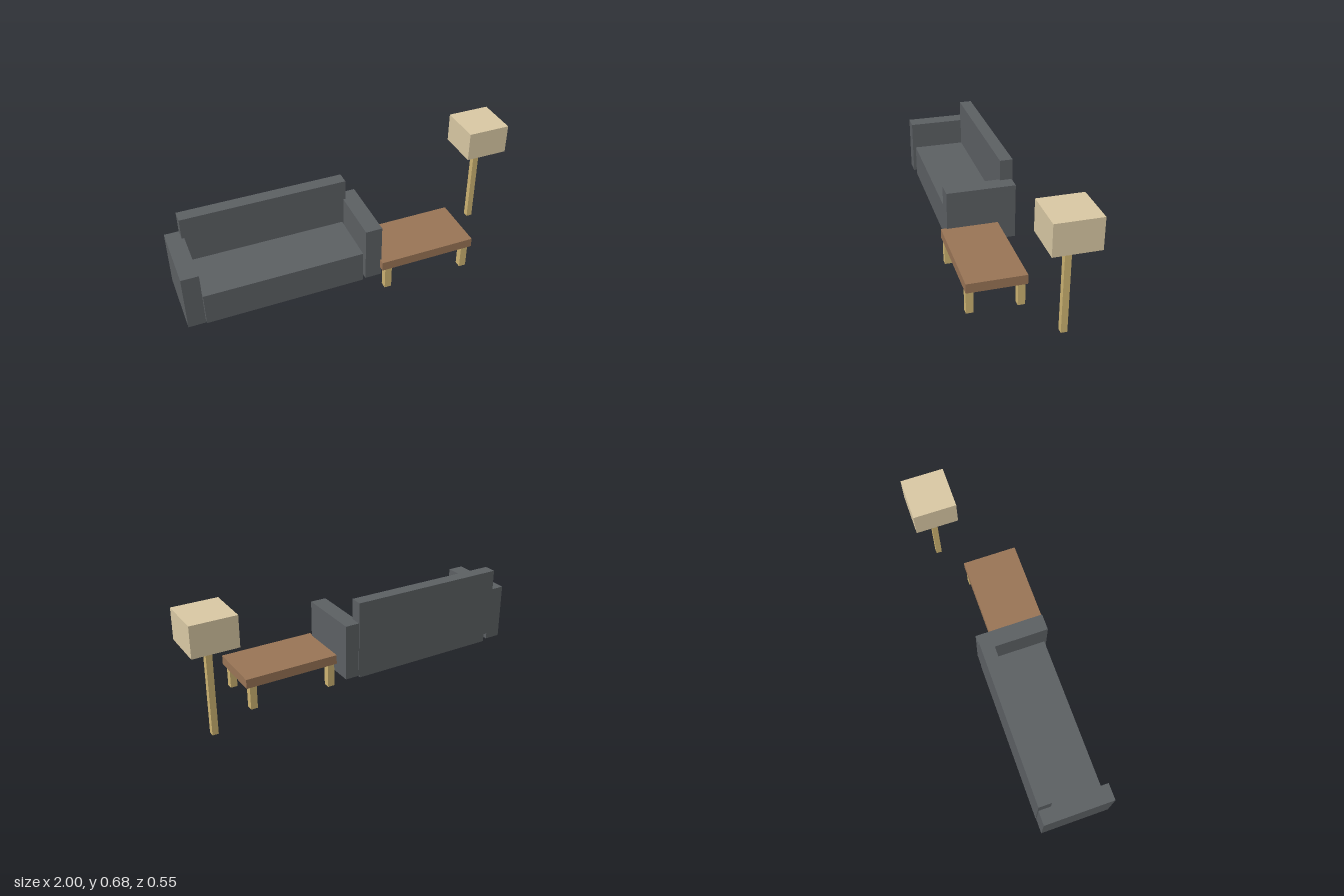
import * as THREE from 'three';

const material = (color) => new THREE.MeshStandardMaterial({ color, flatShading: true });

// Adds a box spanning [min, max] on each axis.
function addBox(parent, name, mat, [x0, x1], [y0, y1], [z0, z1]) {
  const mesh = new THREE.Mesh(new THREE.BoxGeometry(x1 - x0, y1 - y0, z1 - z0), mat);
  mesh.position.set((x0 + x1) / 2, (y0 + y1) / 2, (z0 + z1) / 2);
  mesh.name = name;
  parent.add(mesh);
}

function addGroup(parent, name) {
  const group = new THREE.Group();
  group.name = name;
  parent.add(group);
  return group;
}

export function createModel() {
  const model = new THREE.Group();
  model.name = 'livingRoomSet';
  const fabric = material(0x5d6164);
  const wood = material(0x9b7657);
  const paleWood = material(0xd0b674);
  const shade = material(0xdccba6);

  // Sofa: seat, backrest and two arms
  const sofa = addGroup(model, 'sofa');
  addBox(sofa, 'seat', fabric, [-0.9, -0.01], [0.061, 0.25], [-0.133, 0.225]);
  addBox(sofa, 'backrest', fabric, [-0.92, 0.011], [0.122, 0.528], [-0.155, -0.082]);
  for (const [name, x] of [['rightArm', -1], ['leftArm', -0.002]]) {
    addBox(sofa, name, fabric, [x, x + 0.094], [0.085, 0.408], [-0.15, 0.242]);
  }

  // Coffee table: top and four square legs
  const table = addGroup(model, 'coffeeTable');
  addBox(table, 'tableTop', wood, [0.085, 0.642], [0.137, 0.191], [-0.048, 0.276]);
  for (const x of [0.105, 0.581]) {
    for (const z of [-0.042, 0.231]) {
      addBox(table, 'tableLeg', paleWood, [x, x + 0.04], [0, 0.137], [z, z + 0.04]);
    }
  }

  // Floor lamp: square pole and box shade
  const lamp = addGroup(model, 'floorLamp');
  addBox(lamp, 'lampPole', paleWood, [0.859, 0.893], [0, 0.513], [-0.169, -0.135]);
  addBox(lamp, 'lampShade', shade, [0.754, 1], [0.513, 0.683], [-0.275, -0.029]);

  return model;
}
